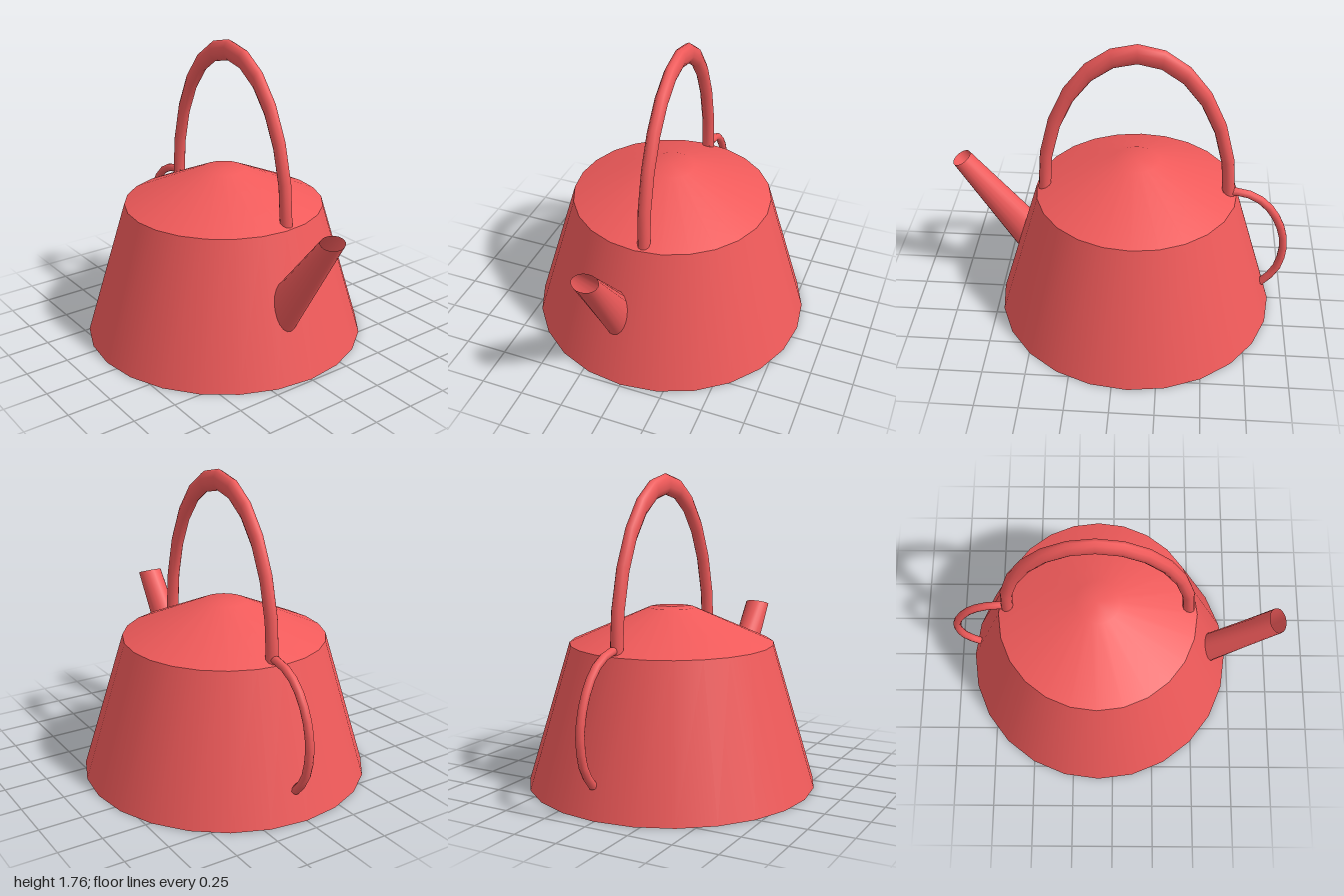
import * as THREE from 'three';

const material = new THREE.MeshStandardMaterial({ color: 0xf05a5a, side: THREE.DoubleSide });

function part(group, name, geometry, x = 0, y = 0, z = 0) {
  const mesh = new THREE.Mesh(geometry, material);
  mesh.name = name;
  mesh.position.set(x, y, z);
  group.add(mesh);
  return mesh;
}

// Spout: elliptical rings lofted from inside the body to the open mouth.
// Each ring is given by its lower and upper edge in the z-y plane.
function spoutGeometry(rings, halfWidth, sides) {
  const geometry = new THREE.PlaneGeometry(1, 1, sides, rings.length - 1);
  const pos = geometry.attributes.position;
  rings.forEach(([lower, upper], r) => {
    for (let i = 0; i <= sides; i++) {
      const a = (i / sides) * Math.PI * 2;
      const t = (1 - Math.cos(a)) / 2;
      pos.setXYZ(
        r * (sides + 1) + i,
        halfWidth * Math.sin(a),
        THREE.MathUtils.lerp(lower[1], upper[1], t),
        THREE.MathUtils.lerp(lower[0], upper[0], t)
      );
    }
  });
  geometry.computeVertexNormals();
  return geometry;
}

export function createModel() {
  const group = new THREE.Group();
  group.name = 'kettle';
  const bodyZ = -0.09;
  const sides = 24;

  // Tapered body with a closed base
  part(group, 'body', new THREE.CylinderGeometry(0.585, 0.828, 0.81, sides, 1, true), 0, 0.405, bodyZ);
  const base = part(group, 'base', new THREE.CircleGeometry(0.828, sides), 0, 0, bodyZ);
  base.rotation.x = Math.PI / 2;

  // Low conical lid with a small flat crown
  const lidProfile = [[0.585, 0.81], [0.13, 1.01], [0, 1.01]].map(([x, y]) => new THREE.Vector2(x, y));
  part(group, 'lid', new THREE.LatheGeometry(lidProfile, sides), 0, 0, bodyZ);

  // Tall overhead handle: half ring stretched upwards
  const handle = part(group, 'topHandle', new THREE.TorusGeometry(0.535, 0.036, 10, 12, Math.PI), 0.038, 0.815, bodyZ);
  handle.rotation.y = Math.PI / 2;
  handle.scale.y = 1.66;

  // Thin rear handle
  const rearPath = new THREE.CatmullRomCurve3(
    [[-0.59, 0.835], [-0.7, 0.835], [-0.825, 0.775], [-0.925, 0.64], [-0.972, 0.46], [-0.94, 0.27], [-0.86, 0.165]]
      .map(([z, y]) => new THREE.Vector3(0.04, y, z))
  );
  part(group, 'rearHandle', new THREE.TubeGeometry(rearPath, 12, 0.024, 10));

  // Tapered spout, open at the mouth
  const rings = [
    [[1.0, 0.9], [0.9, 0.94]],
    [[0.6, 0.21], [0.5, 0.485]],
  ];
  part(group, 'spout', spoutGeometry(rings, 0.076, 20), -0.076, 0, 0);

  return group;
}
